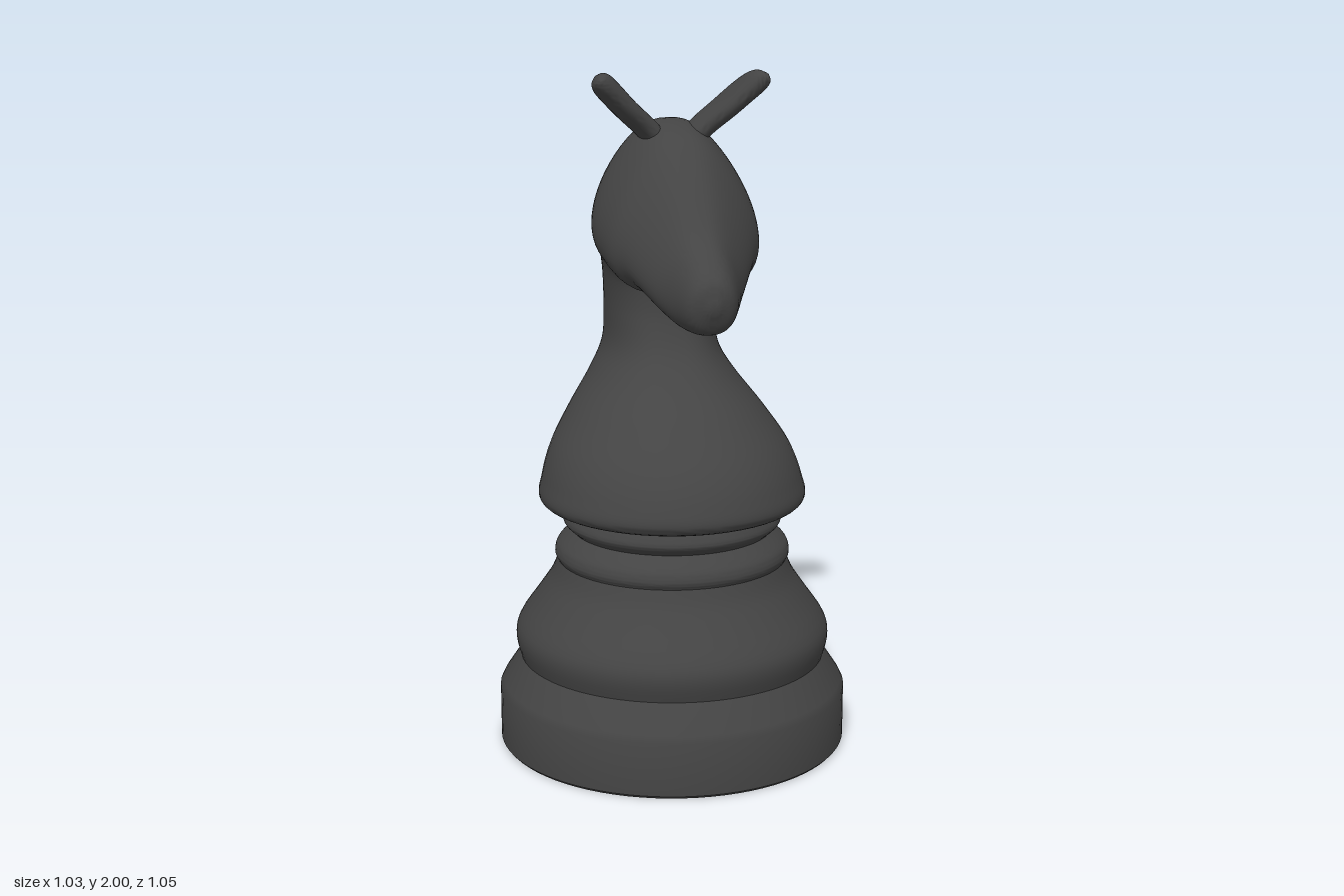
import * as THREE from 'three';
import { toCreasedNormals } from 'three/addons/utils/BufferGeometryUtils.js';

const material = new THREE.MeshStandardMaterial({ color: 0x444444 });
const V = (x, y, z) => new THREE.Vector3(x, y, z);
const ramp = THREE.MathUtils.smoothstep;

function part(name, geometry, crease) {
  const mesh = new THREE.Mesh(toCreasedNormals(geometry, crease), material);
  mesh.name = name;
  return mesh;
}

// Smooth curve through rows of five numbers: front pair, back pair, half-width.
function rowSampler(rows) {
  const curve = points => new THREE.CatmullRomCurve3(points, false, 'catmullrom', 0.5);
  const ends = curve(rows.map(r => V(r[0], r[1], r[2])));
  const rest = curve(rows.map(r => V(r[3], r[4], 0)));
  return t => [...ends.getPoint(t).toArray(), ...rest.getPoint(t).toArray()];
}

// Skin over superellipse rings. section(t) gives the ring's front point a,
// back point b, sideways half-width vector, exponent p and taper k.
function loft(section, steps, sides) {
  const pos = [], index = [];
  for (let i = 0; i <= steps; i++) {
    const { a, b, side, p, k = 0 } = section(i / steps);
    const mid = a.clone().lerp(b, 0.5);
    const half = b.clone().sub(mid);
    for (let j = 0; j < sides; j++) {
      const angle = (j / sides) * Math.PI * 2;
      const u = -Math.cos(angle), s = Math.sin(angle);
      const x = Math.sign(s) * Math.abs(s) ** p * (1 - k * u);
      pos.push(...mid.clone().addScaledVector(half, u).addScaledVector(side, x).toArray());
    }
  }
  for (let i = 0; i < steps; i++) {
    for (let j = 0; j < sides; j++) {
      const n = (j + 1) % sides, r = i * sides, q = r + sides;
      index.push(r + j, r + n, q + j, r + n, q + n, q + j);
    }
  }
  // end caps
  for (const end of [0, steps]) {
    const { a, b } = section(end / steps);
    const centre = pos.length / 3, r = end * sides;
    pos.push(...a.clone().lerp(b, 0.5).toArray());
    for (let j = 0; j < sides; j++) {
      const n = (j + 1) % sides;
      if (end) index.push(r + j, r + n, centre);
      else index.push(r + n, r + j, centre);
    }
  }
  const g = new THREE.BufferGeometry();
  g.setAttribute('position', new THREE.Float32BufferAttribute(pos, 3));
  g.setIndex(index);
  return g;
}

// Turned pedestal: straight plinth, then curved bell, collar and ring
function makeBase() {
  const points = pairs => pairs.map(([r, y]) => new THREE.Vector2(r, y));
  const smooth = pairs => new THREE.SplineCurve(points(pairs)).getPoints(16);
  const profile = [
    ...points([[0, 0], [0.508, 0], [0.515, 0.008], [0.515, 0.165], [0.505, 0.185]]),
    ...smooth([[0.452, 0.265], [0.465, 0.32], [0.455, 0.37], [0.40, 0.45], [0.36, 0.51], [0.339, 0.56]]),
    ...smooth([[0.341, 0.565], [0.347, 0.58], [0.337, 0.61], [0.295, 0.648]]),
    ...smooth([[0.297, 0.65], [0.322, 0.68], [0.3, 0.729]]),
    new THREE.Vector2(0, 0.73),
  ];
  const base = part('base', new THREE.LatheGeometry(profile, 80), 0.5);
  base.position.z = 0.015;
  return base;
}

// Shoulders, neck and head in one sweep, fanning round the throat
function makeBody() {
  // front z, front y, back z, back y, half-width
  const at = rowSampler([
    [0.315, 0.708, -0.29, 0.708, 0.30],
    [0.402, 0.742, -0.372, 0.742, 0.387],
    [0.395, 0.81, -0.378, 0.81, 0.382],
    [0.345, 0.90, -0.378, 0.90, 0.35],
    [0.25, 1.00, -0.376, 1.00, 0.285],
    [0.14, 1.10, -0.375, 1.10, 0.21],
    [0.075, 1.18, -0.375, 1.18, 0.168],
    [0.04, 1.27, -0.375, 1.29, 0.16],
    [0.032, 1.35, -0.368, 1.43, 0.165],
    [0.037, 1.385, -0.335, 1.58, 0.185],
    [0.05, 1.402, -0.23, 1.74, 0.212],
    [0.09, 1.402, -0.06, 1.847, 0.22],
    [0.18, 1.378, 0.12, 1.828, 0.204],
    [0.24, 1.384, 0.24, 1.74, 0.172],
    [0.35, 1.337, 0.375, 1.59, 0.118],
    [0.42, 1.318, 0.455, 1.53, 0.092],
    [0.49, 1.328, 0.515, 1.475, 0.064],
    [0.526, 1.385, 0.53, 1.42, 0.015],
  ]);
  return part('horseBody', loft(t => {
    const [az, ay, bz, by, w] = at(t);
    // round shoulders, squarer neck, head wider at the jaw than the crest
    const p = 1 - 0.25 * ramp(t, 0.15, 0.42) + 0.15 * ramp(t, 0.8, 1);
    const k = 0.37 * ramp(t, 0.48, 0.67) * (1 - ramp(t, 0.75, 1));
    return { a: V(0, ay, az), b: V(0, by, bz), side: V(w, 0, 0), p, k };
  }, 119, 56), 0.9);
}

// Mane: scalloped ridge down the back of the neck
function makeMane() {
  const lumps = 18;
  // inner z, inner y, outer z, outer y, half-width
  const at = rowSampler([
    [-0.33, 0.74, -0.525, 0.745, 0.076],
    [-0.33, 1.00, -0.52, 1.00, 0.075],
    [-0.33, 1.26, -0.51, 1.27, 0.07],
    [-0.29, 1.50, -0.462, 1.55, 0.062],
    [-0.19, 1.68, -0.30, 1.785, 0.048],
    [0, 1.78, -0.03, 1.855, 0.034],
  ]);
  return part('mane', loft(t => {
    const [az, ay, bz, by, w] = at(t);
    const phase = t === 0 ? 0.2 : (t * lumps) % 1;
    const swell = 0.84 + 0.16 * Math.abs(Math.sin(Math.PI * phase ** 0.8)) ** 0.6;
    const a = V(0, ay, az);
    const b = a.clone().lerp(V(0, by, bz), swell);
    return { a, b, side: V(w * swell, 0, 0), p: 0.6 };
  }, lumps * 10, 28), 0.9);
}

// Flat paddle-shaped ear leaning out and forward
function makeEar(name, m) {
  // x, y, front z, back z, half-thickness
  const at = rowSampler([
    [0.03, 1.775, 0.09, -0.02, 0.034],
    [0.08, 1.83, 0.105, -0.03, 0.033],
    [0.14, 1.885, 0.14, -0.02, 0.033],
    [0.185, 1.93, 0.162, 0.01, 0.034],
    [0.217, 1.962, 0.175, 0.05, 0.033],
    [0.235, 1.98, 0.176, 0.09, 0.024],
    [0.242, 1.987, 0.16, 0.12, 0.005],
  ]);
  return part(name, loft(t => {
    const [x, y, front, back, w] = at(t);
    return { a: V(m * x, y, front), b: V(m * x, y, back), side: V(w * 0.7, -m * w * 0.7, 0), p: 0.9 };
  }, 30, 28), 1);
}

export function createModel() {
  const model = new THREE.Group();
  model.name = 'knightChessPiece';
  model.add(makeBase(), makeBody(), makeMane(), makeEar('leftEar', 1), makeEar('rightEar', -1));
  return model;
}
